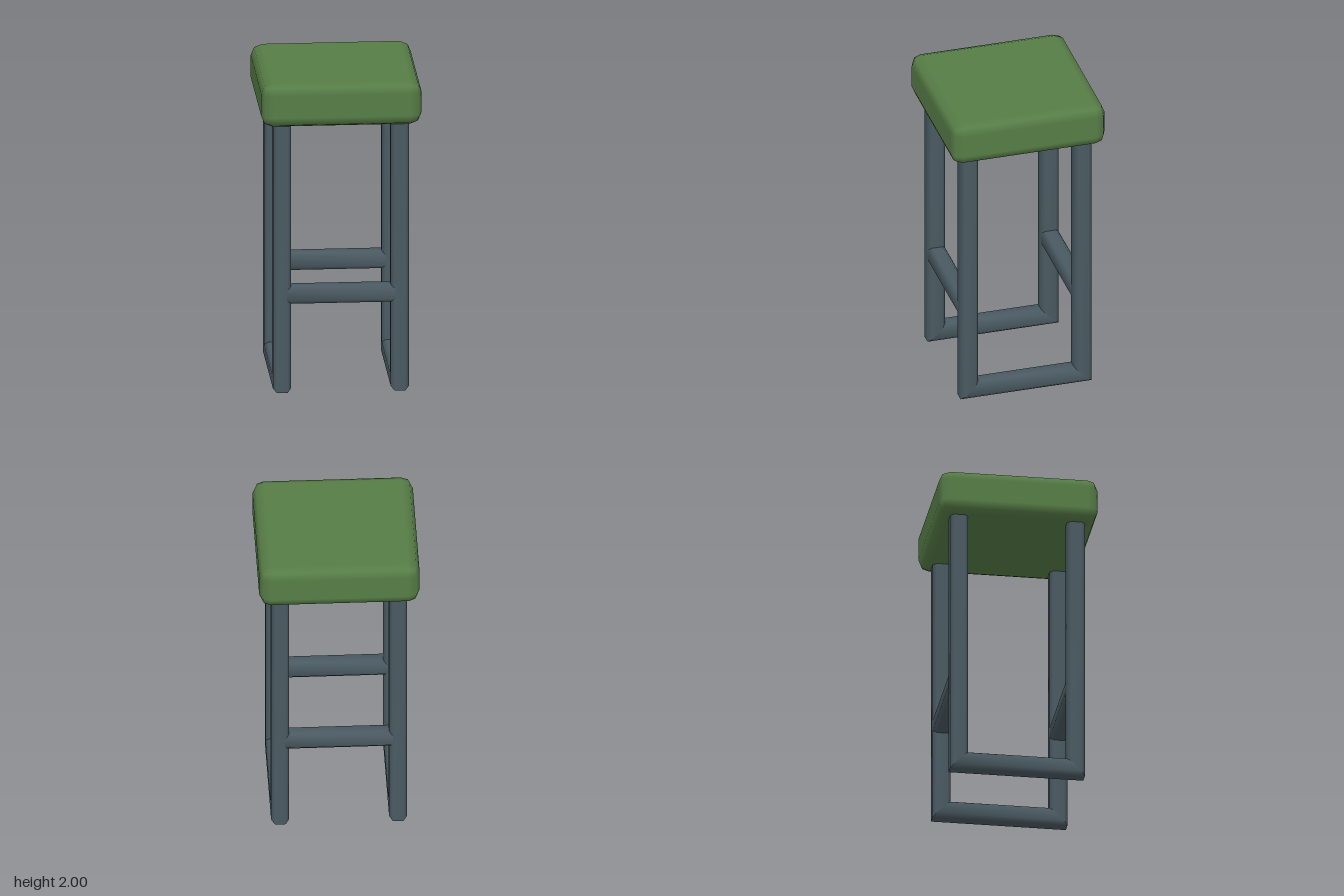
import * as THREE from 'three';
import { RoundedBoxGeometry } from 'three/addons/geometries/RoundedBoxGeometry.js';

// Square bar section with bevelled corners, counter-clockwise
const R = 0.056, F = 0.033;
const SECTION = [[R, -F], [R, F], [F, R], [-F, R], [-R, F], [-R, -F], [-F, -R], [F, -R]];
const LEG = 0.364; // leg centre distance in x and z

// Skin a run of rings; each ring maps a section point (a, b) to [x, y, z].
// Rings are duplicated per segment so mitred joints stay crisp.
function barGeometry(rings) {
  const pos = [], idx = [], n = SECTION.length;
  for (let k = 0; k < rings.length - 1; k++) {
    const base = pos.length / 3;
    for (const ring of [rings[k], rings[k + 1]]) {
      for (const [a, b] of SECTION) pos.push(...ring(a, b));
    }
    for (let i = 0; i < n; i++) {
      const p = base + i, q = base + (i + 1) % n;
      idx.push(p, q, q + n, p, q + n, p + n);
    }
  }
  const g = new THREE.BufferGeometry();
  g.setAttribute('position', new THREE.Float32BufferAttribute(pos, 3));
  g.setIndex(idx);
  g.computeVertexNormals();
  return g;
}

export function createModel() {
  const model = new THREE.Group();
  model.name = 'stool';
  const green = new THREE.MeshStandardMaterial({ color: 0x567d46 });
  green.name = 'green cushion';
  const steel = new THREE.MeshStandardMaterial({ color: 0x4a5a62, side: THREE.DoubleSide });
  steel.name = 'slate metal';

  const add = (name, geometry, material, x, y, z) => {
    const mesh = new THREE.Mesh(geometry, material);
    mesh.name = name;
    mesh.position.set(x, y, z);
    model.add(mesh);
  };

  // Cushioned seat
  add('seat', new RoundedBoxGeometry(0.99, 0.28, 0.99, 1, 0.07), green, 0, 1.86, 0);

  // U-shaped side frames: front leg, floor bar, back leg
  const frame = barGeometry([
    (a, b) => [a, 1.78, LEG + b],
    (a, b) => [a, R - b, LEG + b],
    (a, b) => [a, R - b, -LEG - b],
    (a, b) => [a, 1.78, -LEG - b],
  ]);
  // Footrests joining the frames
  const rung = barGeometry([-1, 1].map((s) => (a, b) => [s * 0.335, a, b]));

  for (const s of [1, -1]) {
    add(s > 0 ? 'leftFrame' : 'rightFrame', frame, steel, s * LEG, 0.004, 0);
    add(s > 0 ? 'frontRung' : 'backRung', rung, steel, 0, 0.626, s * LEG);
  }
  return model;
}
